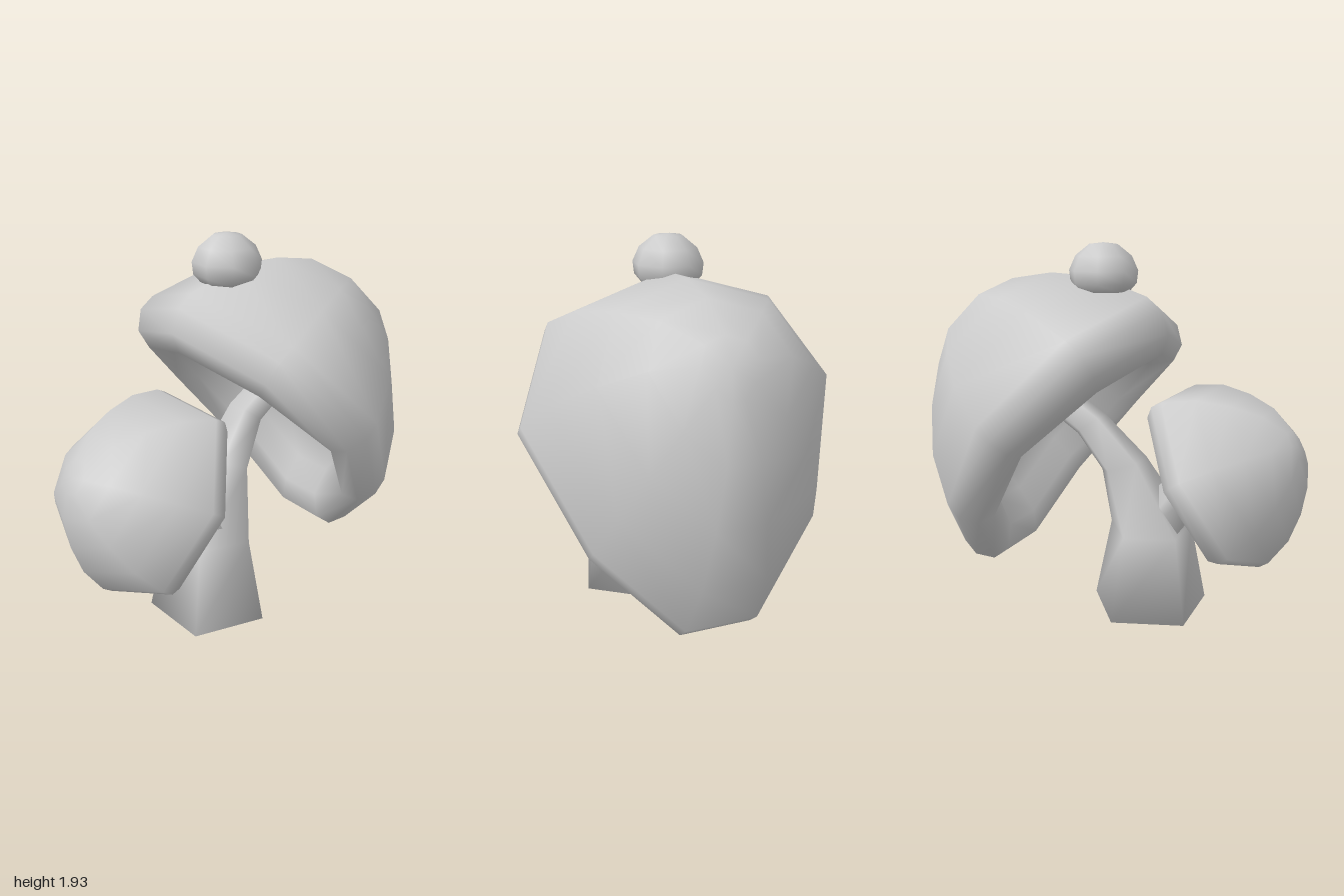
import * as THREE from 'three';
import { mergeVertices } from 'three/addons/utils/BufferGeometryUtils.js';

const material = new THREE.MeshStandardMaterial({ color: 0xcccccc });

// Weld the vertices and compute soft normals
function smooth(geometry) {
  geometry.deleteAttribute('uv');
  geometry.deleteAttribute('normal');
  const welded = mergeVertices(geometry, 1e-4);
  welded.computeVertexNormals();
  return welded;
}

function addMesh(parent, name, geometry) {
  const mesh = new THREE.Mesh(geometry, material);
  mesh.name = name;
  parent.add(mesh);
  return mesh;
}

const toPoints = (pairs) => pairs.map(([r, h]) => new THREE.Vector2(r, h));

// Cap profile [radius, height]: hollow underside, rounded lip, dome
const capProfile = toPoints([
  [0, 0.43], [0.4, 0.38], [0.55, 0.2], [0.59, 0.05], [0.7, -0.03], [0.8, 0], [0.865, 0.1],
  [0.86, 0.2], [0.74, 0.47], [0.56, 0.69], [0.36, 0.86], [0.14, 0.95], [0, 0.955],
]);

// Odd-sided cap with a corner at -x: taper narrows it toward +x, widen spreads
// it toward -x, arch lifts the lip at the sides, lean shifts the dome toward -x
function capGeometry({ sides, width, taper, widen, arch, lean }) {
  const geometry = new THREE.LatheGeometry(capProfile, sides, -Math.PI / 2);
  const stretch = 1.015 / Math.cos(Math.PI / sides);
  const p = geometry.attributes.position;
  for (let i = 0; i < p.count; i++) {
    const x = p.getX(i), h = p.getY(i), z = p.getZ(i);
    const r = Math.hypot(x, z);
    const c = r > 1e-4 ? x / r : 1;
    const lift = arch * (1 - c * c) * (1 + 0.4 * c) * (1 - h / 0.955);
    const spread = width * (1 - taper * Math.max(0, c) + widen * Math.max(0, -c));
    const shift = lean * Math.max(0, h) ** 1.5;
    p.setXYZ(i, (x > 0 ? x * stretch : x) - shift, h + lift, z * spread);
  }
  return smooth(geometry);
}

// Five-sided loft along rings [x, y, z, radius, tilt about z], closed at both ends
function stemGeometry(rings) {
  const sides = 5, positions = [], index = [];
  for (const [cx, cy, cz, radius, tilt] of rings) {
    for (let i = 0; i < sides; i++) {
      const a = (i / sides) * Math.PI * 2 + 1.2;
      const u = Math.cos(a) * radius;
      positions.push(cx + u * Math.cos(tilt), cy + u * Math.sin(tilt), cz + Math.sin(a) * radius);
    }
  }
  for (let j = 0; j < rings.length - 1; j++) {
    for (let i = 0; i < sides; i++) {
      const a = j * sides + i, b = j * sides + (i + 1) % sides;
      index.push(a, a + sides, b, b, a + sides, b + sides);
    }
  }
  const top = (rings.length - 1) * sides;
  for (let i = 1; i < sides - 1; i++) {
    index.push(0, i, i + 1, top, top + i + 1, top + i);
  }
  const geometry = new THREE.BufferGeometry();
  geometry.setAttribute('position', new THREE.Float32BufferAttribute(positions, 3));
  geometry.setIndex(index);
  geometry.computeVertexNormals();
  return geometry;
}

export function createModel() {
  const model = new THREE.Group();
  model.name = 'mushrooms';

  // Trunk leaning into the large cap
  addMesh(model, 'mainStem', stemGeometry([
    [-0.188, 0, 0.11, 0.32, 0],
    [-0.188, 0.44, 0.115, 0.228, 0],
    [-0.05, 0.785, 0.065, 0.13, -0.32],
    [0.12, 0.995, 0.02, 0.095, -0.65],
    [0.5, 1.24, 0, 0.085, -0.9],
  ]));

  // Side branch leaning into the small cap
  addMesh(model, 'sideStem', stemGeometry([
    [-0.19, 0.28, 0.12, 0.1, 0],
    [-0.235, 0.46, 0.125, 0.148, 0.3],
    [-0.415, 0.75, 0.12, 0.1, 0.65],
    [-0.62, 0.85, 0.12, 0.08, 1],
  ]));

  // Large cap
  const largeCap = addMesh(model, 'largeCap', capGeometry({
    sides: 9, width: 0.885, taper: 0.34, widen: 0.18, arch: 0.11, lean: 0.14,
  }));
  largeCap.position.set(0.15, 0.85, 0);
  largeCap.rotation.z = -0.944;

  // Small cap
  const smallCap = addMesh(model, 'smallCap', capGeometry({
    sides: 7, width: 0.97, taper: -0.2, widen: 0.1, arch: 0.02, lean: 0,
  }));
  smallCap.position.set(-0.49, 0.71, 0.12);
  smallCap.rotation.z = 1.024;
  smallCap.scale.setScalar(0.56);

  // Little button growing on top of the large cap
  const buttonProfile = toPoints([
    [0, -0.1], [0.13, -0.1], [0.165, -0.06], [0.172, 0], [0.14, 0.07], [0.07, 0.125], [0, 0.133],
  ]);
  const button = addMesh(model, 'topButton', smooth(new THREE.LatheGeometry(buttonProfile, 8, 0.3)));
  button.position.set(0.025, 1.795, -0.02);

  return model;
}
